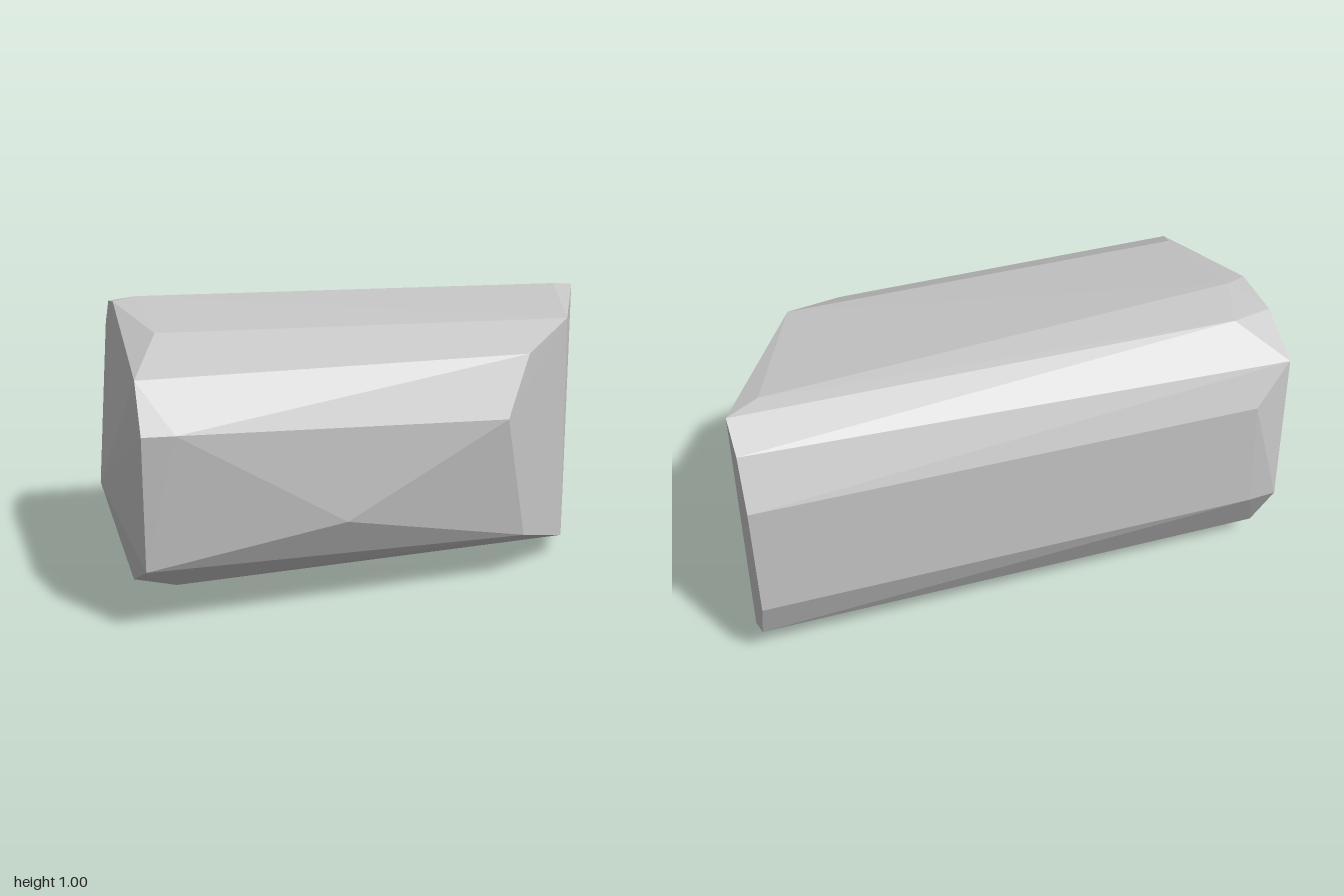
import * as THREE from 'three';
import { ConvexGeometry } from 'three/addons/geometries/ConvexGeometry.js';

// Faceted stone block: the convex hull of a blunt end, a few side corners and a chamfered end.
export function createModel() {
  const stone = new THREE.MeshStandardMaterial({ color: 0xc5c5c5 });
  stone.name = 'stone grey';

  // blunt end outline as [z, y], shared by one x
  const bluntEnd = [
    [-0.17, 0.99], [-0.36, 0.965], [-0.535, 0.855], [-0.578, 0.3], [-0.455, 0.07],
    [-0.26, 0.01], [0.09, 0.03], [0.54, 0.225], [0.575, 0.68], [0.46, 0.835],
  ].map(([z, y]) => [-0.905, y, z]);

  // low tip of the blunt end and the corners just behind its rim
  const shoulder = [
    [-1, 0.4, 0.08],
    [-0.81, 0.942, 0.24], [-0.82, 1, -0.21], [-0.75, 0.97, -0.4],
    [-0.77, 0.72, -0.585], [-0.8, 0.3, -0.585], [-0.5, 0, -0.26],
    [-0.79, 0.11, 0.385], [-0.8, 0.68, 0.585], [-0.24, 0.335, 0.555],
  ];

  // slanted, chamfered end
  const slantedEnd = [
    [0.68, 0.92, 0.24], [0.455, 0.835, 0.42], [0.345, 0.63, 0.51], [0.455, 0.17, 0.42],
    [0.7, 0.075, 0.22], [1, 0.075, -0.385], [0.77, 0.02, -0.26], [0.99, 0.135, -0.495],
    [0.985, 0.295, -0.557], [0.985, 0.71, -0.557], [0.985, 0.88, -0.48],
    [0.99, 0.95, -0.365], [0.88, 0.965, -0.31],
  ];

  const points = [...bluntEnd, ...shoulder, ...slantedEnd].map((p) => new THREE.Vector3(...p));
  const rock = new THREE.Mesh(new ConvexGeometry(points), stone);
  rock.name = 'rock';

  const group = new THREE.Group();
  group.name = 'stoneBlock';
  group.add(rock);
  return group;
}
